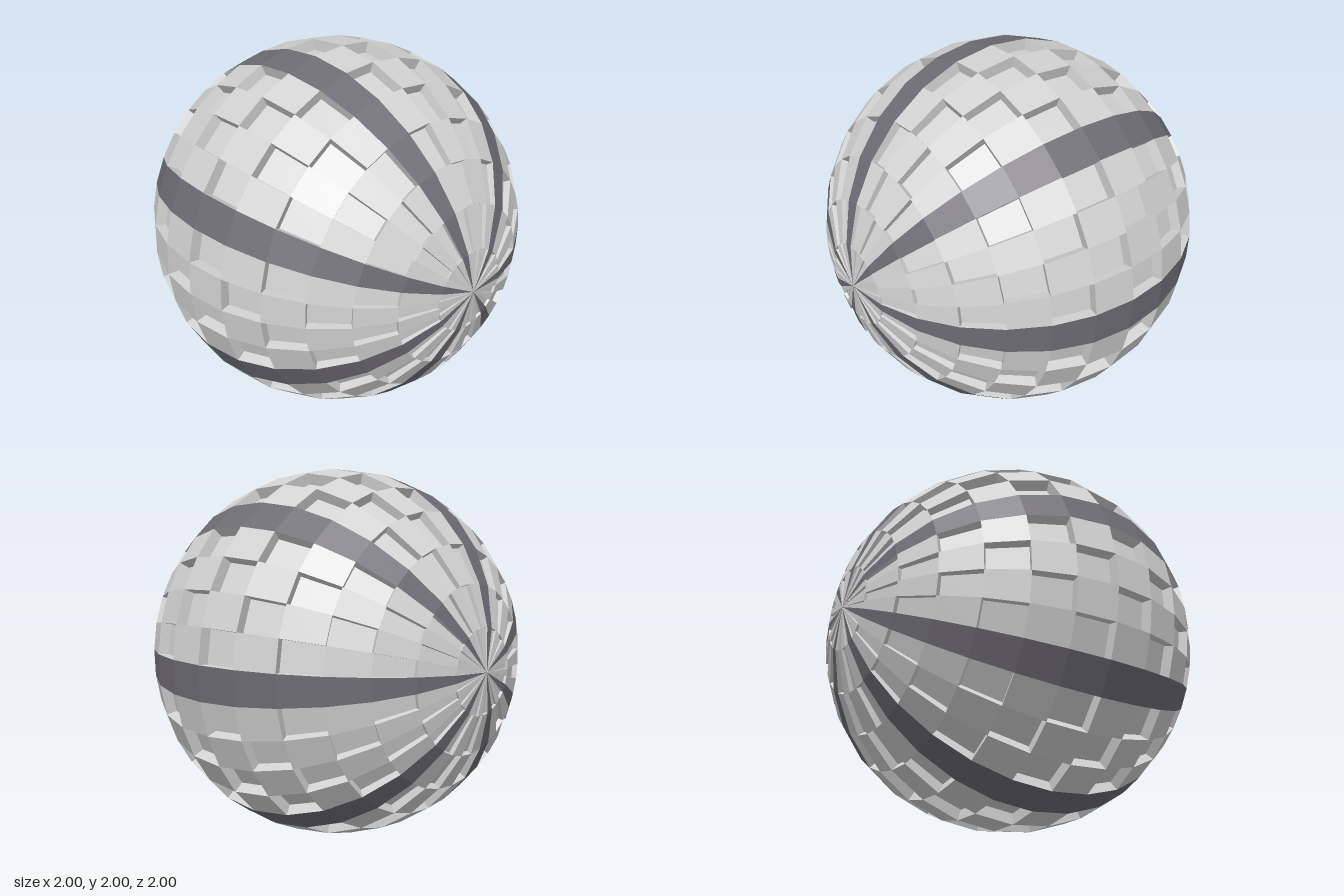
import * as THREE from 'three';

const SEGMENTS = 34;                       // gores around the x axis
const BANDS = 14;                          // cells from pole to pole
const STEP = (Math.PI * 2) / SEGMENTS;
const START = THREE.MathUtils.degToRad(8); // first gore edge, measured from +y towards +z
const DEPTH = 0.06;                        // sink of the recessed cells, fading to the poles

// Grid point on the ball; sunk points move inwards
function gridPoint(n, c, sunk) {
  const theta = START + n * STEP;
  const phi = (c * Math.PI) / BANDS;
  const ring = Math.abs(c) === BANDS / 2 ? 0 : Math.cos(phi);
  const r = sunk ? 1 - DEPTH * ring : 1;
  return new THREE.Vector3(Math.sin(phi), ring * Math.cos(theta), ring * Math.sin(theta)).multiplyScalar(r);
}

// Two triangles, leaving out any that collapse at a pole
function addQuad(list, a, b, c, d) {
  for (const [p, q, r] of [[a, b, c], [a, c, d]]) {
    const area = q.clone().sub(p).cross(r.clone().sub(p)).length();
    if (area > 1e-7) list.push(...p.toArray(), ...q.toArray(), ...r.toArray());
  }
}

function makeMesh(name, positions, material) {
  const geometry = new THREE.BufferGeometry();
  geometry.setAttribute('position', new THREE.Float32BufferAttribute(positions, 3));
  geometry.computeVertexNormals();
  const mesh = new THREE.Mesh(geometry, material);
  mesh.name = name;
  return mesh;
}

export function createModel() {
  const panelGrey = new THREE.MeshStandardMaterial({ name: 'panelGrey', color: 0xd2d2d2 });
  const stripeGrey = new THREE.MeshStandardMaterial({ name: 'stripeGrey', color: 0x6e6c74 });

  const raised = [], recessed = [], walls = [], stripes = [];

  for (let n = 0; n < SEGMENTS; n++) {
    // every fifth gore is a smooth dark stripe
    const isStripe = ((n + 20) % SEGMENTS) % 5 === 0;
    for (let c = -BANDS / 2; c < BANDS / 2; c++) {
      const corners = [[n, c], [n + 1, c], [n + 1, c + 1], [n, c + 1]];
      const outer = corners.map(([i, j]) => gridPoint(i, j, false));
      if (isStripe) {
        addQuad(stripes, ...outer);
      } else if ((n + c) % 2 !== 0) {
        addQuad(raised, ...outer);
      } else {
        // sunken cell with four side walls
        const inner = corners.map(([i, j]) => gridPoint(i, j, true));
        addQuad(recessed, ...inner);
        for (let k = 0; k < 4; k++) {
          const m = (k + 1) % 4;
          addQuad(walls, outer[k], outer[m], inner[m], inner[k]);
        }
      }
    }
  }

  const ball = new THREE.Group();
  ball.name = 'panelledBall';
  ball.add(
    makeMesh('raisedPanels', raised, panelGrey),
    makeMesh('recessedPanels', recessed, panelGrey),
    makeMesh('recessWalls', walls, panelGrey),
    makeMesh('darkStripes', stripes, stripeGrey),
  );
  ball.position.y = 1;

  const model = new THREE.Group();
  model.name = 'model';
  model.add(ball);
  return model;
}
